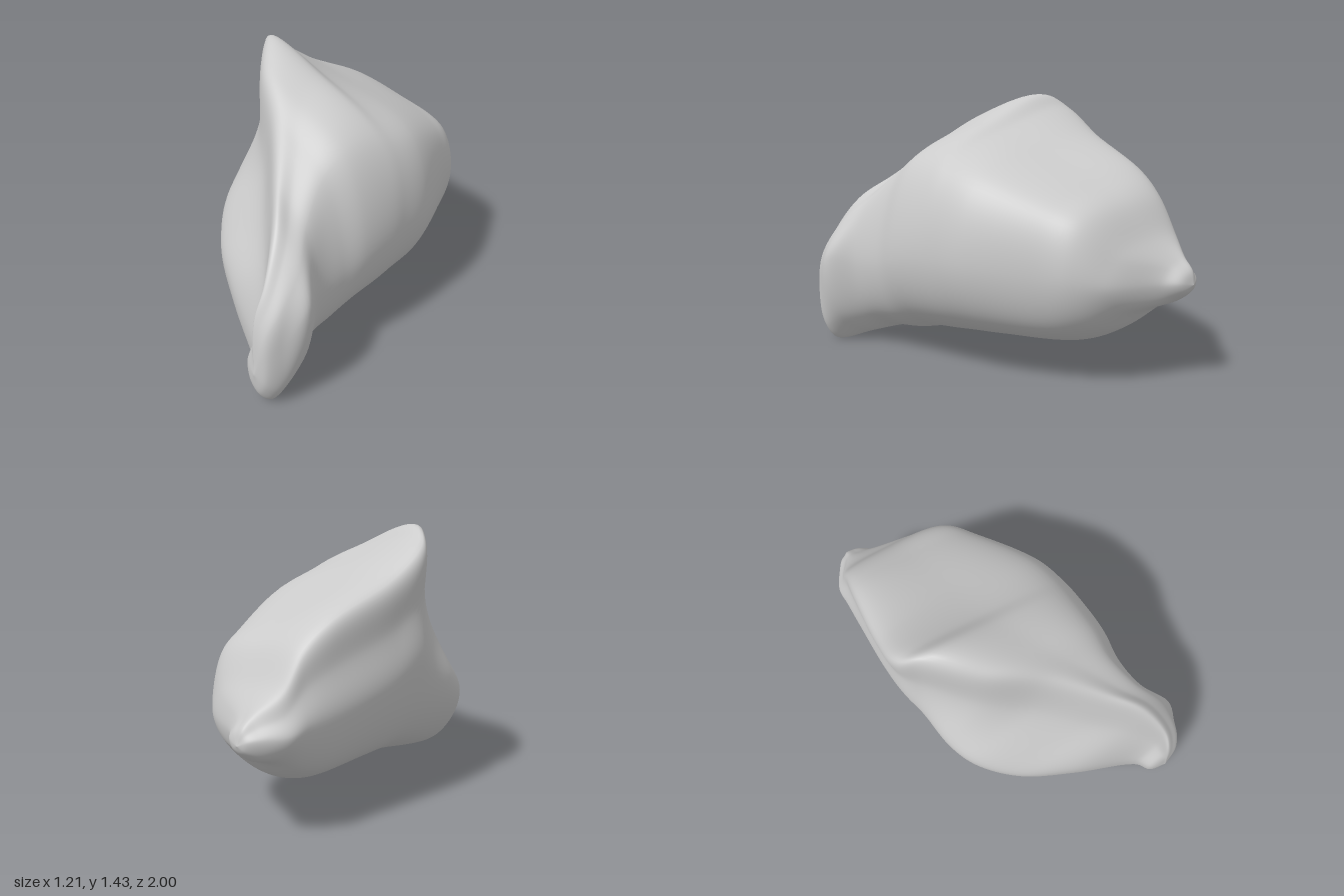
import * as THREE from 'three';

// Stations from back to front: z, then x, y of the crest edge, the outermost
// point on the right, the lowest point, the outermost point on the left, the shoulder.
const STATIONS = [
  [-0.92, -.42, .65, -.5, .55, -.38, .43, -.24, .53, -.29, .6],
  [-0.82, -.48, .74, -.56, .55, -.28, .38, .03, .54, -.04, .67],
  [-0.7, -.5, .92, -.57, .58, -.2, .27, .17, .56, .1, .82],
  [-0.55, -.53, 1.04, -.58, .6, -.14, .2, .25, .57, .18, .88],
  [-0.2, -.58, 1.2, -.6, .68, -.02, .18, .43, .6, .32, 1.01],
  [0, -.575, 1.34, -.595, .75, .02, .165, .465, .6, .35, 1.05],
  [0.1, -.48, 1.415, -.57, .7, .04, .155, .48, .6, .35, 1.07],
  [0.3, -.27, 1.32, -.54, .61, .04, .13, .49, .56, .35, 1.06],
  [0.45, -.01, 1.15, -.47, .54, .1, .1, .48, .52, .35, .98],
  [0.62, .2, .98, -.29, .42, .17, .085, .5, .5, .42, .83],
  [0.76, .35, .85, -.02, .36, .32, .045, .595, .52, .52, .68],
  [0.9, .44, .64, .33, .22, .45, 0, .56, .35, .54, .52],
];

// Point part of the way round the corner joining a side point to the lowest point
function quarter(side, low) {
  const corner = new THREE.Vector3(side.x, low.y, low.z);
  return side.clone().lerp(low, 0.5).lerp(corner, 0.45);
}

// Closed ring: crest, right wall, belly, left side, shoulder, top slope.
// Towards the front the right wall hollows in beneath the crest.
function makeRing([z, ...p]) {
  const [crest, right, low, left, shoulder] =
    [0, 2, 4, 6, 8].map(i => new THREE.Vector3(p[i], p[i + 1], z));
  const wall = crest.clone().lerp(right, 0.5);
  wall.x += (crest.x - right.x) * 0.25 * THREE.MathUtils.smoothstep(z, -0.1, 0.3);
  const slope = crest.clone().lerp(shoulder, 0.5);
  slope.y += 0.07 * (shoulder.x - crest.x);
  return [crest, wall, right, quarter(right, low), low, quarter(left, low), left, shoulder, slope];
}

// Copy of a ring, shrunk towards a point and moved along z
const shrink = (ring, x, y, z, s) =>
  ring.map(p => new THREE.Vector3(x + (p.x - x) * s, y + (p.y - y) * s, z));

function createBody() {
  const rings = STATIONS.map(makeRing);
  const back = rings[0], front = rings[rings.length - 1];
  // Rounded ends: the small back nub and the narrow front fin
  rings.unshift(shrink(back, -.4, .52, -1, 0), shrink(back, -.4, .53, -.98, .5));
  rings.push(shrink(front, .46, .2, .97, .66), shrink(front, .46, .2, 1, 0));

  const along = 110, around = 100;
  const rails = back.map((_, k) =>
    new THREE.CatmullRomCurve3(rings.map(r => r[k]), false, 'centripetal'));

  const positions = [], index = [];
  for (let i = 0; i <= along; i++) {
    const loop = rails.map(rail => rail.getPoint(i / along));
    const tip = i === 0 || i === along;
    const curve = new THREE.CatmullRomCurve3(loop, true, 'centripetal');
    for (let j = 0; j < around; j++) {
      const p = tip ? loop[0] : curve.getPoint(j / around);
      positions.push(p.x, Math.max(0, p.y), p.z);
      if (i === along) continue;
      const a = i * around + j, b = i * around + (j + 1) % around;
      if (i > 0) index.push(a, b, a + around);
      if (i < along - 1) index.push(b, b + around, a + around);
    }
  }
  const geometry = new THREE.BufferGeometry();
  geometry.setAttribute('position', new THREE.Float32BufferAttribute(positions, 3));
  geometry.setIndex(index);
  geometry.computeVertexNormals();
  return geometry;
}

export function createModel() {
  const group = new THREE.Group();
  group.name = 'rock';
  const body = new THREE.Mesh(createBody(), new THREE.MeshStandardMaterial({ color: 0xcccccc }));
  body.name = 'rockBody';
  group.add(body);
  return group;
}
